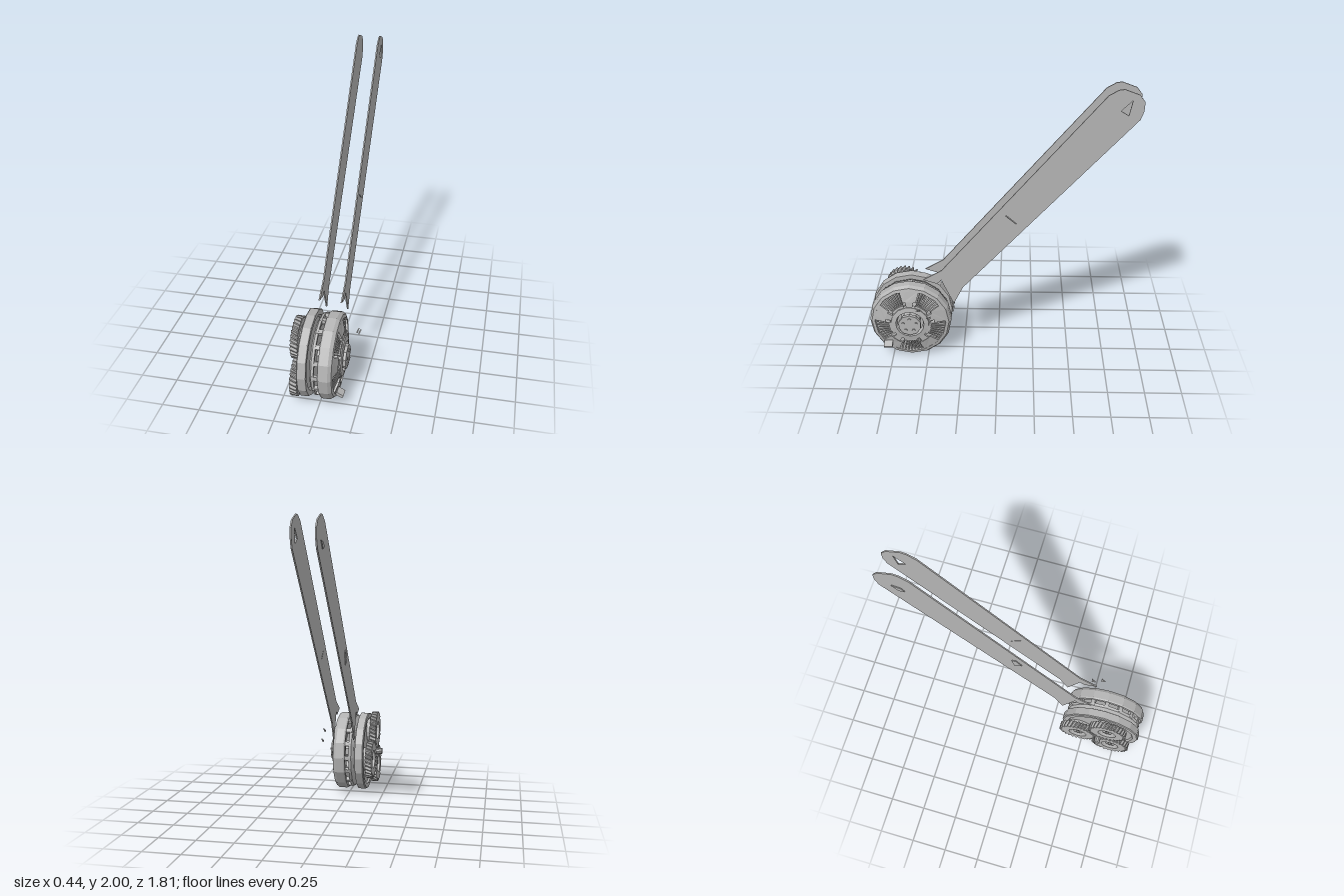
import * as THREE from 'three';

const grey = new THREE.MeshStandardMaterial({ color: 0xb4b4b4, side: THREE.DoubleSide });
grey.name = 'plain grey';

// Working frame: shapes lie in local XY and are extruded along the axle (local z becomes +x)
function add(parent, name, geometry, x = 0, y = 0, z = 0) {
  const g = geometry.index ? geometry.toNonIndexed() : geometry;
  g.computeVertexNormals();
  const mesh = new THREE.Mesh(g, grey);
  mesh.name = name;
  mesh.position.set(x, y, z);
  parent.add(mesh);
  return mesh;
}

const polar = (r, a) => new THREE.Vector2(r * Math.cos(a), r * Math.sin(a));
const polygon = (r, n, turn = 0) =>
  Array.from({ length: n }, (_, i) => polar(r, turn + (i / n) * Math.PI * 2));

function slab(points, z0, z1, holes = []) {
  const shape = new THREE.Shape(points);
  holes.forEach(h => shape.holes.push(new THREE.Path(h)));
  return new THREE.ExtrudeGeometry(shape, { depth: z1 - z0, bevelEnabled: false }).translate(0, 0, z0);
}

// Profile of [radius, position along axle] turned about the axle
function turned(profile, sides) {
  const pts = profile.map(([r, z]) => new THREE.Vector2(r, z));
  return new THREE.LatheGeometry(pts, sides).rotateX(Math.PI / 2);
}

// Move vertices by a rule
function warp(geometry, rule) {
  const p = geometry.attributes.position;
  const v = new THREE.Vector3();
  for (let i = 0; i < p.count; i++) {
    v.fromBufferAttribute(p, i);
    rule(v);
    p.setXYZ(i, v.x, v.y, v.z);
  }
  return geometry;
}

// Piece of a ring, bent to follow the domed wheel face
const dome = r => 0.132 - 0.04 * Math.pow(r / 0.28, 3);
function domePiece(r0, r1, a0, a1, thick, lift = 0) {
  const pts = [];
  const n = 3;
  for (let i = 0; i <= n; i++) pts.push(polar(r1, a0 + ((a1 - a0) * i) / n));
  for (let i = n; i >= 0; i--) pts.push(polar(r0, a0 + ((a1 - a0) * i) / n));
  return warp(slab(pts, -thick, 0), v => { v.z += dome(Math.hypot(v.x, v.y)) + lift; });
}

// Toothed ring whose teeth slant along the axle
function gearGeometry() {
  const teeth = 28;
  const pts = [];
  for (let i = 0; i < teeth; i++) {
    const step = (Math.PI * 2) / teeth;
    [[0.119, 0], [0.139, 0.25], [0.139, 0.5], [0.119, 0.75]].forEach(([r, f]) => pts.push(polar(r, (i + f) * step)));
  }
  return warp(slab(pts, -0.182, -0.136, [polygon(0.066, 16)]), v => {
    const a = (v.z + 0.16) * 3;
    const { x, y } = v;
    v.x = x * Math.cos(a) - y * Math.sin(a);
    v.y = x * Math.sin(a) + y * Math.cos(a);
  });
}

function makeStrap(name, z0, z1, holes) {
  const outline = [
    [-0.513, 0.625], [-0.42, 0.595], [-0.39, 0.625], [-0.36, 0.555], [-0.307, 0.437], [-0.24, 0.57],
    [0.884, 1.805], [0.903, 1.86], [0.905, 1.92], [0.87, 1.965], [0.775, 2], [0.74, 1.995], [0.68, 1.96],
    [-0.386, 0.7],
  ].map(p => new THREE.Vector2(...p));
  const strap = new THREE.Group();
  strap.name = name;
  add(strap, name + 'Plate', slab(outline, z0, z1, holes));
  return strap;
}

export function createModel() {
  const model = new THREE.Group();
  const frame = new THREE.Group();
  frame.name = 'wheelAndStraps';
  frame.rotation.y = Math.PI / 2;
  model.add(frame);

  // Two long straps
  const pin = [[0.76, 1.86], [0.81, 1.83], [0.83, 1.93]].map(p => new THREE.Vector2(...p));
  const slot = [[0.05, 1.125], [0.12, 1.065], [0.123, 1.069], [0.054, 1.13]].map(p => new THREE.Vector2(...p));
  frame.add(makeStrap('leftStrap', 0.083, 0.092, [pin, slot]));
  const rightStrap = makeStrap('rightStrap', -0.063, -0.054, []);
  frame.add(rightStrap);
  const tabs = [
    [[0.0, 1.07], [0.05, 1.03], [0.07, 1.12], [0.04, 1.13]],
    [[0.72, 1.81], [0.76, 1.8], [0.8, 1.85], [0.74, 1.84]],
  ];
  tabs.forEach(t => add(rightStrap, 'strapTab', slab(t.map(p => new THREE.Vector2(...p)), -0.069, -0.063)));

  const wheel = new THREE.Group();
  wheel.name = 'wheel';
  wheel.position.set(-0.617, 0.288, 0);
  frame.add(wheel);

  // Outer rim, faceted
  add(wheel, 'rim', turned([
    [0.252, 0.015], [0.28, 0.015], [0.287, 0.025], [0.287, 0.08], [0.272, 0.102], [0.25, 0.108], [0.245, 0.08], [0.252, 0.015],
  ], 16));

  // Open cage behind the rim
  add(wheel, 'cageRing', turned([
    [0.185, -0.046], [0.24, -0.046], [0.268, -0.03], [0.274, -0.012], [0.25, -0.012], [0.19, -0.03], [0.185, -0.046],
  ], 16));
  for (let i = 0; i < 16; i++) {
    const bar = add(wheel, 'cageBar', new THREE.BoxGeometry(0.026, 0.03, 0.05));
    const a = (i / 16) * Math.PI * 2;
    bar.position.set(0.257 * Math.cos(a), 0.257 * Math.sin(a), 0);
    bar.rotation.z = a;
  }
  add(wheel, 'innerRing', slab(polygon(0.19, 16), -0.046, -0.036, [polygon(0.07, 12)]));

  // Domed face: five plates alternating with five louvred sectors
  for (let i = 0; i < 5; i++) {
    const a = Math.PI / 2 + (i / 5) * Math.PI * 2;
    add(wheel, 'facePlate', domePiece(0.175, 0.262, a - 0.27, a + 0.27, 0.016, 0.004));
    add(wheel, 'faceSpoke', domePiece(0.1, 0.18, a - 0.16, a + 0.16, 0.02));
    const b = a + Math.PI / 5;
    for (let k = -3; k <= 3; k++) {
      const c = b + k * 0.095;
      add(wheel, 'louvre', domePiece(0.145, 0.262, c - 0.023, c + 0.023, 0.05, -0.006));
    }
    add(wheel, 'louvreFoot', domePiece(0.12, 0.15, b - 0.34, b + 0.34, 0.016));
  }
  add(wheel, 'faceRing', turned([
    [0.09, 0.108], [0.138, 0.108], [0.134, 0.134], [0.1, 0.14], [0.09, 0.108],
  ], 15));
  add(wheel, 'backing', slab(polygon(0.255, 16), 0.03, 0.036, [polygon(0.14, 16)]));

  // Hub and axle
  add(wheel, 'hub', turned([[0, -0.05], [0.07, -0.05], [0.07, 0.12], [0.08, 0.13], [0.08, 0.155], [0, 0.155]], 10));
  for (let i = 0; i < 5; i++) {
    const p = polar(0.048, (i / 5) * Math.PI * 2 + 0.3);
    add(wheel, 'hubBolt', slab(polygon(0.012, 6), 0.155, 0.162), p.x, p.y);
  }
  add(wheel, 'axle', slab(polygon(0.022, 10), -0.222, 0));

  // Fin and loose chips outside the face
  const fin = add(wheel, 'fin', new THREE.BoxGeometry(0.06, 0.02, 0.05), -0.16, -0.17, 0.138);
  fin.rotation.x = 0.5;
  [[0.07, 0.16], [0.14, 0.1]].forEach(([x, y]) => {
    const chip = [[-0.015, -0.008], [0.012, -0.014], [0.015, 0.012]].map(p => new THREE.Vector2(...p));
    add(wheel, 'looseChip', warp(slab(chip, 0.198, 0.206), v => { v.z += v.y * 0.4 + 0.003; }), x, y);
  });

  // Carrier drum behind the wheel
  add(wheel, 'carrierDrum', turned([
    [0, -0.075], [0.235, -0.075], [0.25, -0.06], [0.284, -0.06], [0.288, -0.066],
    [0.288, -0.115], [0.282, -0.121], [0.25, -0.121], [0.24, -0.108], [0, -0.108],
  ], 16));

  // Three meshing gears on the carrier
  for (let i = 0; i < 3; i++) {
    const gear = new THREE.Group();
    gear.name = 'gear';
    const p = polar(0.157, (-10 + 120 * i) * Math.PI / 180);
    gear.position.set(p.x, p.y, 0);
    wheel.add(gear);
    add(gear, 'gearTeeth', gearGeometry());
    add(gear, 'gearCollar', slab(polygon(0.085, 16), -0.14, -0.106, [polygon(0.055, 16)]));
    add(gear, 'gearPin', slab(polygon(0.034, 12), -0.17, -0.106, [polygon(0.016, 12)]));
  }
  return model;
}
